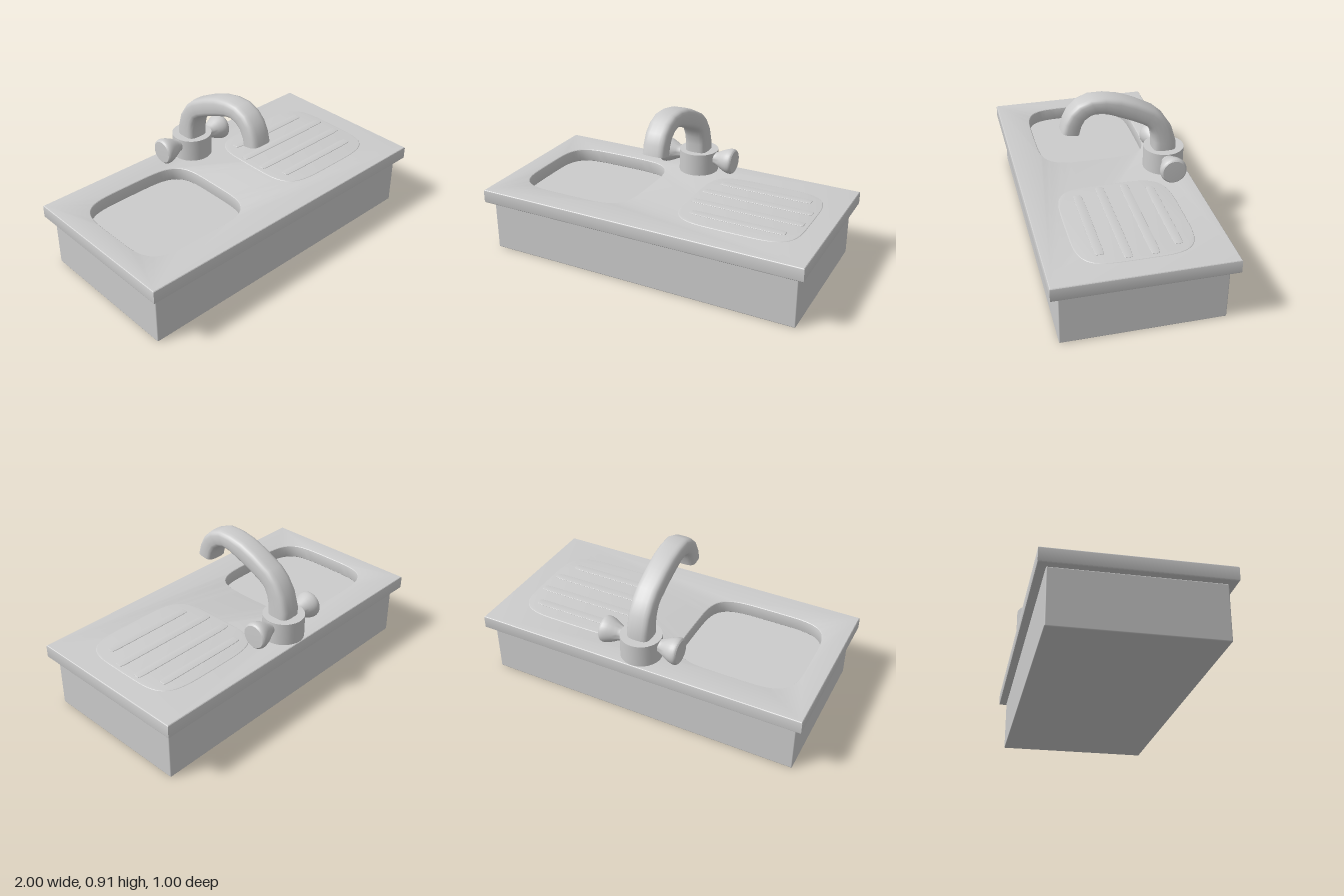
import * as THREE from 'three';
import { toCreasedNormals } from 'three/addons/utils/BufferGeometryUtils.js';
import { RoundedBoxGeometry } from 'three/addons/geometries/RoundedBoxGeometry.js';

const material = new THREE.MeshStandardMaterial({ color: 0xcccccc });

function add(parent, name, geometry, x = 0, y = 0, z = 0) {
  const mesh = new THREE.Mesh(geometry, material);
  mesh.name = name;
  mesh.position.set(x, y, z);
  parent.add(mesh);
  return mesh;
}

// Signed power that turns a circle into a soft square
const soften = (v, n) => Math.sign(v) * Math.abs(v) ** (2 / n);

function softRectangle(cx, cy, hx, hy, n = 4.5, count = 64) {
  const points = [];
  for (let i = 0; i < count; i++) {
    const a = (i / count) * Math.PI * 2;
    points.push(new THREE.Vector2(cx + hx * soften(Math.cos(a), n), cy + hy * soften(Math.sin(a), n)));
  }
  return points;
}

// Horizontal slab with a rounded-over edge, standing on y = 0
function slab(shape, height, bevel) {
  const geometry = new THREE.ExtrudeGeometry(shape, {
    depth: height - 2 * bevel, bevelThickness: bevel, bevelSize: bevel,
    bevelOffset: -bevel, bevelSegments: 3, curveSegments: 8,
  });
  geometry.translate(0, 0, bevel);
  geometry.rotateX(-Math.PI / 2);
  return toCreasedNormals(geometry, 0.35);
}

// Spout swept from pairs of points on its outer and inner edge, each [z, y]
function spoutGeometry() {
  const outer = [[-0.44, 0.5], [-0.44, 0.57], [-0.41, 0.67], [-0.36, 0.745], [-0.305, 0.795], [-0.19, 0.855],
    [-0.1, 0.89], [-0.01, 0.907], [0.08, 0.907], [0.15, 0.878], [0.2, 0.83], [0.23, 0.77], [0.245, 0.71]];
  const inner = [[-0.3, 0.5], [-0.3, 0.585], [-0.29, 0.635], [-0.27, 0.68], [-0.235, 0.705], [-0.17, 0.737],
    [-0.08, 0.775], [-0.01, 0.803], [0.03, 0.811], [0.07, 0.803], [0.105, 0.78], [0.128, 0.74], [0.14, 0.692]];
  const sides = 24, positions = [], index = [];
  const section = softRectangle(0, 0, 0.07, 1, 3.6, sides);
  outer.forEach(([oz, oy], i) => {
    const [iz, iy] = inner[i];
    for (const p of section) {
      positions.push(p.x, (oy + iy) / 2 + p.y * (oy - iy) / 2, (oz + iz) / 2 + p.y * (oz - iz) / 2);
    }
  });
  const last = (outer.length - 1) * sides, tip = outer.length * sides;
  positions.push(0, 0.701, 0.1925);
  for (let j = 0; j < sides; j++) {
    const k = (j + 1) % sides;
    for (let r = 0; r < last; r += sides) {
      index.push(r + j, r + k, r + sides + k, r + j, r + sides + k, r + sides + j);
    }
    index.push(tip, last + j, last + k);
  }
  const geometry = new THREE.BufferGeometry();
  geometry.setAttribute('position', new THREE.Float32BufferAttribute(positions, 3));
  geometry.setIndex(index);
  return toCreasedNormals(geometry, 0.9);
}

export function createModel() {
  const sink = new THREE.Group();
  sink.name = 'sink';

  // Cabinet, whose top closes the basin
  add(sink, 'cabinet', new RoundedBoxGeometry(1.92, 0.312, 0.91, 2, 0.006), 0, 0.156, 0);

  // Worktop with the basin opening
  const top = new THREE.Shape([[-1, -0.5], [1, -0.5], [1, 0.5], [-1, 0.5]].map(p => new THREE.Vector2(...p)));
  top.holes.push(new THREE.Path(softRectangle(-0.513, 0.004, 0.36, 0.328)));
  add(sink, 'worktop', slab(top, 0.083, 0.009), 0, 0.312, 0);

  // Draining board with four ribs
  const drainer = new THREE.Group();
  drainer.name = 'drainingBoard';
  sink.add(drainer);
  add(drainer, 'drainerPad', slab(new THREE.Shape(softRectangle(0.508, 0.004, 0.367, 0.332)), 0.018, 0.006), 0, 0.38, 0);
  [[-0.225, 0.285], [-0.085, 0.34], [0.06, 0.34], [0.2, 0.285]].forEach(([z, half]) => {
    const rib = new THREE.Shape(softRectangle(0, 0, half, 0.026, 8, 32));
    add(drainer, 'drainerRib', slab(rib, 0.011, 0.003), 0.508, 0.39, z);
  });

  // Tap
  const tap = new THREE.Group();
  tap.name = 'tap';
  sink.add(tap);
  add(tap, 'tapBase', new THREE.CylinderGeometry(0.12, 0.12, 0.142, 40), 0, 0.459, -0.375);
  add(tap, 'spout', spoutGeometry());

  // Flared handles on both sides
  const profile = [[0, 0.09], [0.038, 0.09], [0.039, 0.12], [0.047, 0.14], [0.06, 0.165], [0.071, 0.19],
    [0.077, 0.21], [0.078, 0.225], [0.075, 0.236], [0.067, 0.243], [0, 0.245]];
  const knob = toCreasedNormals(new THREE.LatheGeometry(profile.map(p => new THREE.Vector2(...p)), 32), 0.6);
  for (const side of [-1, 1]) {
    const handle = add(tap, side > 0 ? 'leftHandle' : 'rightHandle', knob, 0, 0.486, -0.37);
    handle.rotation.z = -side * Math.PI / 2;
  }
  return sink;
}
